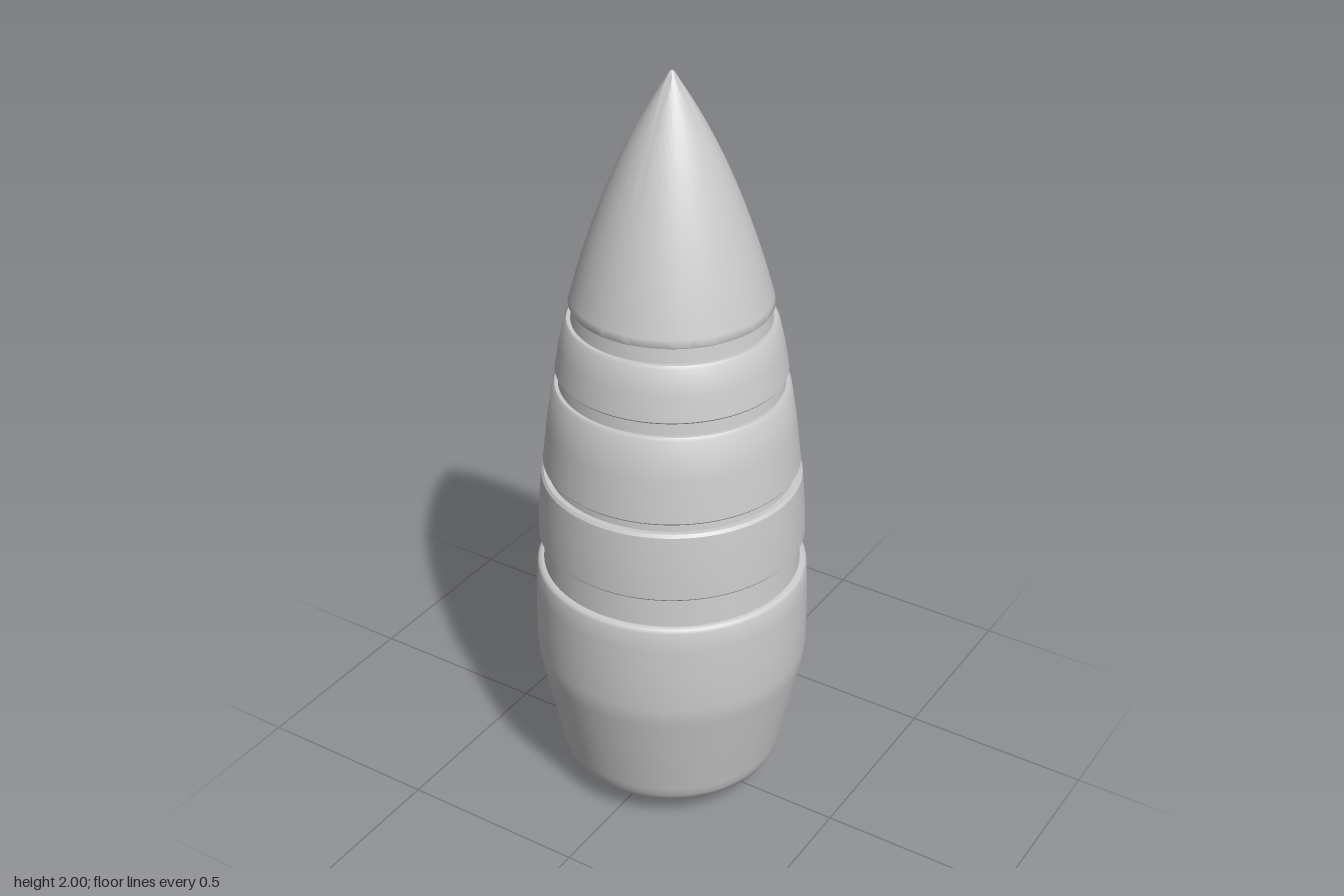
import * as THREE from 'three';
import { toCreasedNormals } from 'three/addons/utils/BufferGeometryUtils.js';

const SEGMENTS = 96;
const material = new THREE.MeshStandardMaterial({ color: 0xcccccc });

// Turns a bottom-to-top profile of [radius, height] pairs around the y axis
function turned(name, profile, crease = 0.5) {
  const points = profile.map(([r, y]) => new THREE.Vector2(r, y));
  const geometry = toCreasedNormals(new THREE.LatheGeometry(points, SEGMENTS), crease);
  const mesh = new THREE.Mesh(geometry, material);
  mesh.name = name;
  return mesh;
}

export function createModel() {
  const model = new THREE.Group();
  model.name = 'segmentedShell';

  // Flat foot, chamfered underside and tapered lower body with a rounded rim
  model.add(turned('base', [[0, 0.003], [0.145, 0.003], [0.158, 0], [0.172, 0.008]]));
  model.add(turned('lowerBody', [
    [0.172, 0.008], [0.265, 0.066], [0.283, 0.08], [0.294, 0.1], [0.3, 0.125],
    [0.35, 0.375], [0.355, 0.4], [0.357, 0.43], [0.357, 0.52], [0.354, 0.61],
    [0.351, 0.665], [0.347, 0.674], [0.338, 0.677], [0.322, 0.677],
  ], 0.9));

  // Stacked tapering bands: bottom height, bottom radius, top height, top radius
  const bands = [
    [0.76, 0.344, 0.945, 0.333],
    [0.97, 0.327, 1.195, 0.298],
    [1.23, 0.29, 1.37, 0.264],
  ];
  bands.forEach(([y0, r0, y1, r1], i) => {
    const mid = (r0 + r1) / 2 + 0.002;
    model.add(turned(`band${i + 1}`, [
      [r0 - 0.03, y0], [r0 - 0.003, y0], [r0, y0 + 0.004], [mid, (y0 + y1) / 2],
      [r1, y1 - 0.008], [r1 - 0.006, y1], [r1 - 0.03, y1],
    ]));
  });

  // Recessed necks in the gaps between the bands
  const necks = [
    [0.67, 0.334, 0.765, 0.327],
    [0.94, 0.315, 0.975, 0.311],
    [1.19, 0.284, 1.235, 0.278],
    [1.365, 0.249, 1.415, 0.241],
  ];
  necks.forEach(([y0, r0, y1, r1], i) => {
    model.add(turned(`neck${i + 1}`, [[r0, y0], [r1, y1]]));
  });

  // Pointed ogive nose with a flat lower lip
  const curve = new THREE.SplineCurve([
    [0.253, 1.415], [0.226, 1.51], [0.193, 1.61], [0.155, 1.71],
    [0.111, 1.81], [0.06, 1.907], [0.012, 1.986],
  ].map(([r, y]) => new THREE.Vector2(r, y)));
  const nose = curve.getPoints(24).map((p) => [p.x, p.y]);
  model.add(turned('nose', [[0.225, 1.411], [0.251, 1.411], ...nose, [0.006, 1.996], [0, 2]], 0.8));

  return model;
}
